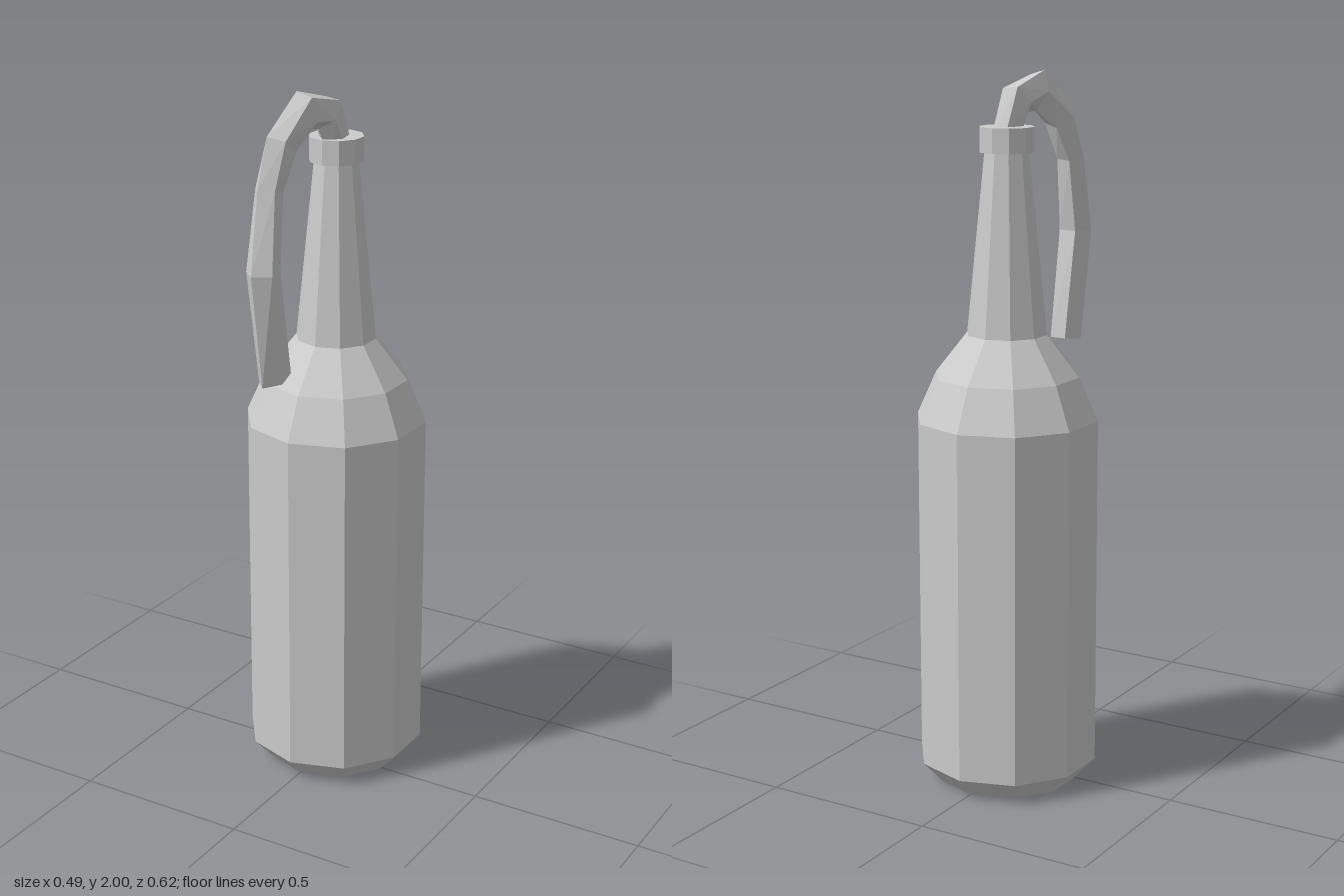
import * as THREE from 'three';

const SIDES = 10;
const AXIS_Z = -0.056; // the bottle sits behind centre, the rag hangs in front

export function createModel() {
  const group = new THREE.Group();
  const grey = new THREE.MeshStandardMaterial({ color: 0xcccccc, flatShading: true });
  grey.name = 'grey';

  const add = (name, geometry) => {
    const mesh = new THREE.Mesh(geometry, grey);
    mesh.name = name;
    group.add(mesh);
    return mesh;
  };
  const lathe = (name, profile) => {
    const points = profile.map(([r, y]) => new THREE.Vector2(r, y));
    add(name, new THREE.LatheGeometry(points, SIDES)).position.z = AXIS_Z;
  };

  // Bottle body: chamfered base, straight sides, two-step shoulder, tapering neck
  lathe('bottle', [
    [0, 0], [0.2, 0], [0.257, 0.062], [0.257, 1.055],
    [0.203, 1.175], [0.113, 1.29], [0.062, 1.79],
  ]);
  // Collar around the mouth
  lathe('collar', [[0, 1.787], [0.076, 1.787], [0.076, 1.855], [0, 1.855]]);

  add('rag', ragGeometry());
  return group;
}

// Five-sided twisted strip that rises from the mouth and hangs down in front
function ragGeometry() {
  // x, y, z of the centre, then half depth and half width
  const path = [
    [0.005, 1.82, -0.055, 0.045, 0.036],
    [-0.004, 1.925, -0.01, 0.053, 0.042],
    [-0.01, 1.946, 0.088, 0.06, 0.038],
    [-0.035, 1.868, 0.172, 0.055, 0.042],
    [-0.045, 1.755, 0.215, 0.042, 0.038],
    [-0.038, 1.545, 0.257, 0.05, 0.046],
    [-0.034, 1.238, 0.213, 0.06, 0.039],
  ];
  const n = 5;
  const last = path.length - 1;
  const centres = path.map((p) => new THREE.Vector3(p[0], p[1], p[2]));
  const side = new THREE.Vector3(1, 0, 0);
  const positions = [];
  const index = [];

  path.forEach(([, , , depth, width], i) => {
    const tangent = centres[Math.min(i + 1, last)].clone().sub(centres[Math.max(i - 1, 0)]);
    const outward = tangent.cross(side).normalize();
    const twist = (i / last) * Math.PI / n;
    for (let k = 0; k < n; k++) {
      const a = ((k + 0.5) / n) * Math.PI * 2 + twist;
      const v = centres[i].clone()
        .addScaledVector(outward, Math.cos(a) * depth)
        .addScaledVector(side, Math.sin(a) * width);
      positions.push(v.x, v.y, v.z);
    }
  });

  for (let i = 0; i < last; i++) {
    for (let k = 0; k < n; k++) {
      const a = i * n + k;
      const b = i * n + ((k + 1) % n);
      index.push(a, a + n, b, b, a + n, b + n);
    }
  }
  // Cap on the hanging end
  const e = last * n;
  for (let k = 1; k < n - 1; k++) index.push(e, e + k + 1, e + k);

  const geometry = new THREE.BufferGeometry();
  geometry.setAttribute('position', new THREE.Float32BufferAttribute(positions, 3));
  geometry.setIndex(index);
  geometry.computeVertexNormals();
  return geometry;
}
